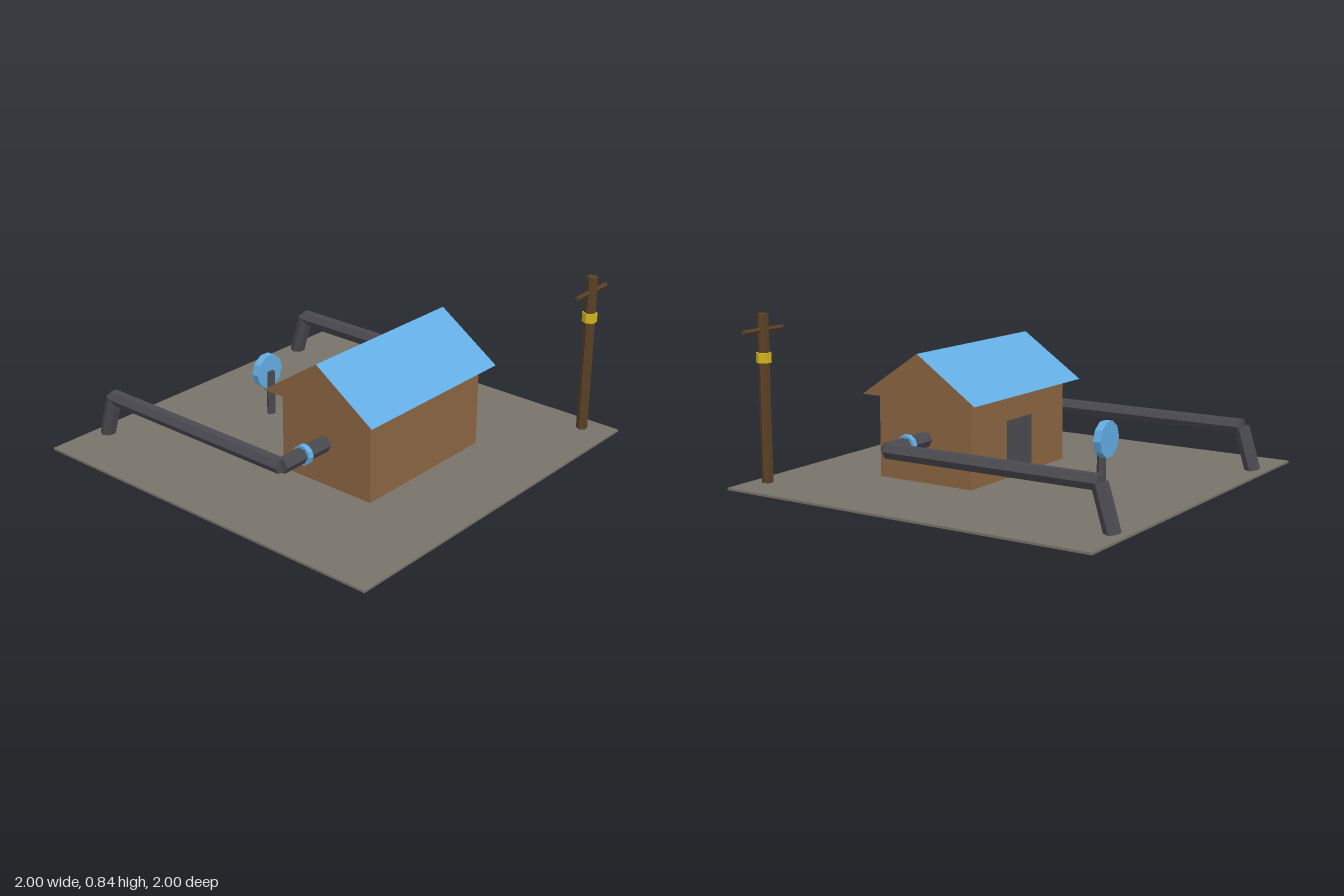
import * as THREE from 'three';

const mat = (name, color) => {
  const m = new THREE.MeshStandardMaterial({ color, flatShading: true });
  m.name = name;
  return m;
};

export function createModel() {
  const earth = mat('earth', 0x78726a);
  const wall = mat('brown wall', 0x8b6542);
  const blue = mat('blue', 0x63ace3);
  const iron = mat('dark iron', 0x4a4a50);
  const timber = mat('dark timber', 0x5a4026);
  const yellow = mat('yellow', 0xd2b51c);

  const model = new THREE.Group();
  model.name = 'pumpHouse';

  const add = (name, geometry, material, x = 0, y = 0, z = 0) => {
    const mesh = new THREE.Mesh(geometry, material);
    mesh.name = name;
    mesh.position.set(x, y, z);
    model.add(mesh);
    return mesh;
  };

  const box = (name, material, [x0, x1], [y0, y1], [z0, z1]) =>
    add(name, new THREE.BoxGeometry(x1 - x0, y1 - y0, z1 - z0), material,
      (x0 + x1) / 2, (y0 + y1) / 2, (z0 + z1) / 2);

  // Faceted rod from a to b; turn sets where its corners fall
  const rod = (name, material, a, b, radius, sides = 6, turn = 0) => {
    const from = new THREE.Vector3(...a), to = new THREE.Vector3(...b);
    const axis = to.clone().sub(from);
    const geometry = new THREE.CylinderGeometry(radius, radius, axis.length(), sides);
    geometry.rotateY(turn);
    const mesh = add(name, geometry, material);
    mesh.position.copy(from).add(to).multiplyScalar(0.5);
    mesh.quaternion.setFromUnitVectors(new THREE.Vector3(0, 1, 0), axis.normalize());
    return mesh;
  };

  // Ground slab
  box('ground', earth, [-1, 1], [0.005, 0.016], [-1, 1]);

  // House body and back door
  box('houseWalls', wall, [-0.41, 0.41], [0.012, 0.43], [0, 0.54]);
  box('door', iron, [-0.107, 0.107], [0.016, 0.3], [-0.005, 0.002]);

  // Gable roof: blue slopes, brown ends and underside
  const L = 0.472, eaveY = 0.43, ridgeY = 0.652, back = -0.062, front = 0.596, mid = 0.267;
  const fb = [[-L, eaveY, front], [L, eaveY, front]];
  const bb = [[-L, eaveY, back], [L, eaveY, back]];
  const rr = [[-L, ridgeY, mid], [L, ridgeY, mid]];
  const surface = (triangles) => {
    const g = new THREE.BufferGeometry();
    g.setAttribute('position', new THREE.Float32BufferAttribute(triangles.flat(2), 3));
    g.computeVertexNormals();
    return g;
  };
  const quad = (a, b, c, d) => [[a, b, c], [a, c, d]];
  add('roofSlopes', surface([
    ...quad(fb[0], fb[1], rr[1], rr[0]),
    ...quad(bb[1], bb[0], rr[0], rr[1]),
  ]), blue);
  add('roofGables', surface([
    [fb[1], bb[1], rr[1]],
    [bb[0], fb[0], rr[0]],
    ...quad(bb[0], bb[1], fb[1], fb[0]),
  ]), wall);

  // Mirrored pipe runs with a clamp ring and a slanted leg
  const pipeY = 0.231, pipeZ = 0.265, pipeR = 0.039;
  for (const [label, s] of [['left', 1], ['right', -1]]) {
    const x = 0.708 * s;
    rod(label + 'OutletPipe', iron, [0.4 * s, pipeY, pipeZ], [x, pipeY, pipeZ], pipeR);
    rod(label + 'PipeClamp', blue, [0.544 * s, pipeY, pipeZ], [0.572 * s, pipeY, pipeZ], 0.05, 10);
    rod(label + 'LongPipe', iron, [x, pipeY, pipeZ], [x, pipeY, -0.868], pipeR, 6, Math.PI / 2);
    rod(label + 'PipeLeg', iron, [x, 0.228, -0.865], [x, 0.012, -0.931], pipeR, 6, Math.PI / 2);
  }

  // Round valve disc on a short post
  rod('valvePost', iron, [0, 0.004, -0.467], [0, 0.25, -0.467], 0.022, 6, Math.PI / 2);
  rod('valveDisc', blue, [0, 0.248, -0.511], [0, 0.248, -0.472], 0.09, 10, Math.PI / 2);

  // Utility pole with crossbar and yellow band
  const px = 0.866, pz = 0.866;
  rod('utilityPole', timber, [px, 0.035, pz], [px, 0.845, pz], 0.028, 6, Math.PI / 2);
  rod('poleBand', yellow, [px, 0.612, pz], [px, 0.66, pz], 0.037, 6, Math.PI / 2);
  rod('poleCrossbar', timber, [0.735, 0.767, pz], [0.998, 0.767, pz], 0.0115);

  return model;
}
